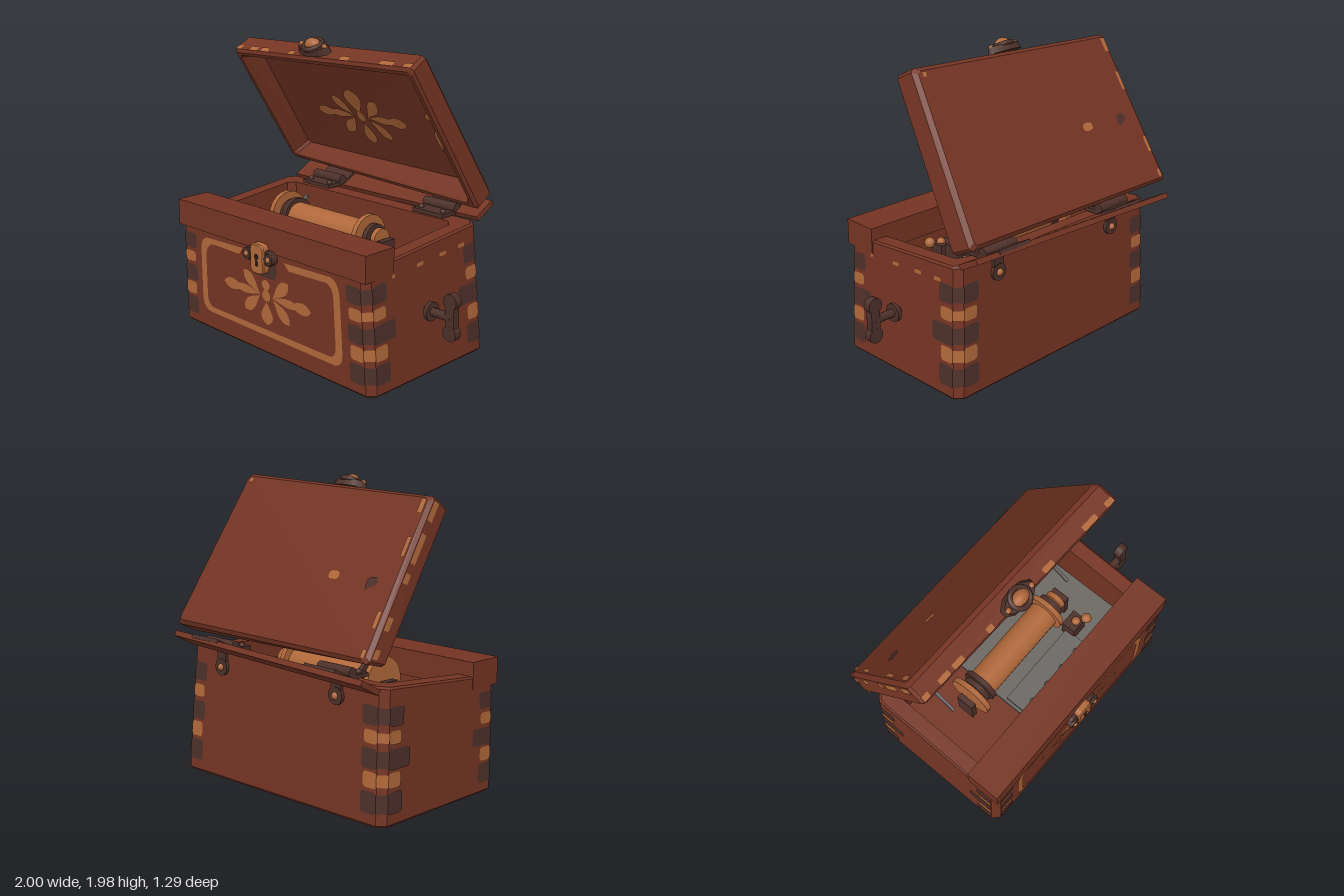
import * as THREE from 'three';

const mat = (name, color, side = THREE.FrontSide) =>
  Object.assign(new THREE.MeshStandardMaterial({ color, side }), { name });

// Trilinear map of a slightly skewed box: u right, v second axis, t outward axis
function warp(c) {
  const p = c.map(a => new THREE.Vector3(...a));
  const mix = (a, b, k) => a.clone().lerp(b, k);
  const quad = (o, u, v) => mix(mix(p[o], p[o + 1], u), mix(p[o + 3], p[o + 2], u), v);
  return (u, v, t) => mix(quad(0, u, v), quad(4, u, v), t);
}

// Hollow open box lofted through rings [t, inset], with cut corners
function shell(fn, width, depth, rings, cut) {
  const loops = rings.map(([t, i]) => {
    const a = i / width, b = i / depth, c = cut / width, d = cut / depth;
    return [[a + c, b], [1 - a - c, b], [1 - a, b + d], [1 - a, 1 - b - d],
      [1 - a - c, 1 - b], [a + c, 1 - b], [a, 1 - b - d], [a, b + d]].map(([u, v]) => fn(u, v, t));
  });
  const pos = [];
  const tri = (...pts) => pts.forEach(q => pos.push(q.x, q.y, q.z));
  for (let r = 0; r < loops.length - 1; r++) {
    const A = loops[r], B = loops[r + 1];
    for (let k = 0; k < 8; k++) {
      const n = (k + 1) % 8;
      tri(A[k], A[n], B[n]);
      tri(A[k], B[n], B[k]);
    }
  }
  const first = loops[0], last = loops[loops.length - 1];
  for (let k = 1; k < 7; k++) {
    tri(first[0], first[k + 1], first[k]);
    tri(last[0], last[k], last[k + 1]);
  }
  const g = new THREE.BufferGeometry();
  g.setAttribute('position', new THREE.Float32BufferAttribute(pos, 3));
  g.computeVertexNormals();
  return g;
}

// Rounded rectangle outline
function roundRect(x0, y0, x1, y1, r) {
  const s = new THREE.Shape();
  s.moveTo(x0 + r, y0).lineTo(x1 - r, y0).quadraticCurveTo(x1, y0, x1, y0 + r);
  s.lineTo(x1, y1 - r).quadraticCurveTo(x1, y1, x1 - r, y1).lineTo(x0 + r, y1);
  s.quadraticCurveTo(x0, y1, x0, y1 - r).lineTo(x0, y0 + r).quadraticCurveTo(x0, y0, x0 + r, y0);
  return s;
}

// Pointed petal starting at x, y
function petal(x, y, angle, len, w) {
  const c = Math.cos(angle), s = Math.sin(angle), at = (a, b) => [x + a * c - b * s, y + a * s + b * c];
  const p = new THREE.Shape();
  p.moveTo(...at(0, 0));
  p.bezierCurveTo(...at(len * 0.3, -w * 0.2), ...at(len * 0.7, -w), ...at(len, 0));
  p.bezierCurveTo(...at(len * 0.7, w), ...at(len * 0.3, w * 0.2), ...at(0, 0));
  return p;
}

export function createModel() {
  const root = new THREE.Group();
  root.name = 'musicChest';
  const wood = mat('redBrownWood', 0x743423);
  const gold = mat('wornGold', 0xb0683a);
  const dark = mat('darkMetal', 0x4d3029);
  const grey = mat('greyMetal', 0x6b6763);
  const black = mat('keyholeBlack', 0x2a1a16);

  const add = (name, geo, m, x = 0, y = 0, z = 0, parent = root) => {
    const mesh = new THREE.Mesh(geo, m);
    mesh.name = name;
    mesh.position.set(x, y, z);
    parent.add(mesh);
    return mesh;
  };
  const box = (name, m, x, y, z, w, h, d) => add(name, new THREE.BoxGeometry(w, h, d), m, x, y, z);
  const rod = (name, m, x, y, z, r, len, axis, sides = 16) => {
    const g = new THREE.CylinderGeometry(r, r, len, sides);
    if (axis === 'x') g.rotateZ(Math.PI / 2);
    if (axis === 'z') g.rotateX(Math.PI / 2);
    return add(name, g, m, x, y, z);
  };
  const knob = (name, m, x, y, z, r) => add(name, new THREE.SphereGeometry(r, 12, 8), m, x, y, z);
  // Thin painted plate laid on a surface
  const decal = (name, shapes, m, map) => {
    const g = new THREE.ShapeGeometry(shapes, 8), p = g.attributes.position;
    for (let i = 0; i < p.count; i++) {
      const q = map(p.getX(i), p.getY(i));
      p.setXYZ(i, q.x, q.y, q.z);
    }
    g.computeVertexNormals();
    return add(name, g, m);
  };

  // Chest body, hollow and slightly crooked
  const body = warp([[-0.99, 0.045, 0.56], [0.77, 0.005, 0.565], [0.77, 0.02, -0.49], [-0.99, 0.045, -0.48],
    [-0.975, 0.78, 0.57], [0.72, 0.79, 0.575], [0.72, 0.875, -0.445], [-0.975, 0.87, -0.445]]);
  const cut = 0.045;
  add('body', shell(body, 1.74, 1.04, [[0, 0.015], [0.02, 0], [0.985, 0], [1, 0.012], [1, 0.11], [0.5, 0.12]], cut), wood);
  box('frontTopRail', wood, -0.125, 0.805, 0.462, 1.71, 0.17, 0.24);

  // Body faces addressed in plain horizontal and height coordinates
  const h = y => (y - 0.025) / 0.78, o = 0.005;
  const sides = {
    front: (a, y) => body((a + 0.985) / 1.74, -o, h(y)),
    right: (a, y) => body(1 + o / 1.7, a / 1.04, h(y)),
    back: (a, y) => body(1 - a / 1.74, 1 + o, h(y)),
    left: (a, y) => body(-o / 1.7, 1 - a / 1.04, h(y)),
  };
  // Corner straps, alternating dark and gold, wrapped around the cut corners
  const bands = [[0.1, 0.225], [0.245, 0.335], [0.35, 0.465], [0.49, 0.565], [0.59, 0.7]];
  const names = Object.keys(sides);
  names.forEach((side, n) => {
    const map = sides[side], start = side === 'front' ? -0.985 : 0;
    const a0 = start + cut, a1 = start + (n % 2 ? 1.04 : 1.74) - cut;
    const next = sides[names[(n + 1) % 4]], nextStart = n === 3 ? cut - 0.985 : cut;
    bands.forEach(([y0, y1], i) => {
      const w = i % 2 ? 0.105 : 0.12, long = n % 2 && i === 2 ? 0.06 : 0, m = i % 2 ? gold : dark;
      decal(side + 'Straps', [roundRect(a0, y0, a0 + w + long, y1, 0.025), roundRect(a1 - w - long, y0, a1, y1, 0.025)], m, map);
      if (n < 3) decal(side + 'CornerWrap', roundRect(0, y0 + 0.01, 1, y1 - 0.01, 0.01), m,
        (k, y) => map(a1, y).lerp(next(nextStart, y), k));
    });
  });
  // Small worn spots along the top of the crank side
  decal('sideWear', [[0.23, 0.012], [0.47, 0.03], [0.68, 0.03], [0.86, 0.03]]
    .map(([a, w]) => roundRect(a - w, 0.7, a + w, 0.722, 0.008)), gold, sides.right);

  // Painted border with a gap behind the clasp
  const border = new THREE.Shape();
  border.moveTo(-0.34, 0.71).lineTo(-0.7, 0.7).quadraticCurveTo(-0.77, 0.69, -0.77, 0.6);
  border.lineTo(-0.77, 0.25).quadraticCurveTo(-0.76, 0.16, -0.68, 0.16).lineTo(0.46, 0.155);
  border.quadraticCurveTo(0.53, 0.16, 0.535, 0.25).lineTo(0.535, 0.6).quadraticCurveTo(0.53, 0.7, 0.46, 0.71);
  border.lineTo(0.05, 0.7).lineTo(0.09, 0.655).lineTo(0.42, 0.665).quadraticCurveTo(0.48, 0.65, 0.48, 0.58);
  border.lineTo(0.48, 0.27).quadraticCurveTo(0.47, 0.2, 0.42, 0.2).lineTo(-0.66, 0.2);
  border.quadraticCurveTo(-0.72, 0.21, -0.72, 0.28).lineTo(-0.72, 0.57).quadraticCurveTo(-0.71, 0.655, -0.64, 0.665);
  border.lineTo(-0.38, 0.66);
  decal('paintedBorder', border, gold, sides.front);

  // Leaf ornament used on the front and inside the lid
  const ornament = (cx, cy, top) => {
    const list = [new THREE.Shape().absarc(cx, cy + 0.01, 0.038, 0, Math.PI * 2),
      petal(cx, cy + 0.03, Math.PI / 2, top, top * 0.85), petal(cx, cy - 0.03, -Math.PI / 2, 0.16, 0.11)];
    for (const s of [-1, 1]) {
      const turn = a => (s > 0 ? a : Math.PI - a);
      list.push(petal(cx + s * 0.05, cy + 0.01, turn(0), 0.25, 0.06));
      list.push(petal(cx + s * 0.2, cy + 0.01, turn(0), 0.21, 0.08));
      list.push(petal(cx + s * 0.06, cy + 0.01, turn(0.72), 0.2, 0.085));
      list.push(petal(cx + s * 0.06, cy, turn(-0.72), 0.2, 0.085));
    }
    return list;
  };
  decal('frontOrnament', ornament(-0.13, 0.425, 0.09), gold, sides.front);

  // Open lid, leaning back
  const lid = warp([[-0.985, 1.035, -0.615], [0.73, 1.03, -0.585], [0.65, 1.97, -0.005], [-0.965, 1.92, -0.05],
    [-1, 0.995, -0.47], [0.745, 0.95, -0.42], [0.665, 1.89, 0.145], [-0.97, 1.83, 0.085]]);
  add('lid', shell(lid, 1.7, 1.08, [[0, 0.025], [0.15, 0], [0.9, 0], [1, 0.02], [1, 0.045], [0.85, 0.06], [0.25, 0.115]], 0.02), wood);
  const inside = (x, y) => lid((x + 0.98) / 1.68, (y - 1.015) / 0.91, 0.29);
  decal('lidOrnament', ornament(-0.14, 1.43, 0.18), gold, inside);
  decal('lidScratch', [petal(0.46, 1.52, 0.2, 0.09, 0.06), petal(0.49, 1.28, 1.5, 0.16, 0.04)], gold, inside);

  // Worn paint on the lid edges
  const edge = [[0.01, 0.04], [0.09, 0.14], [0.16, 0.21], [0.33, 0.36], [0.62, 0.67], [0.83, 0.9], [0.95, 0.99]];
  decal('lidFrontWear', edge.map(([a, b]) => roundRect(a, 0.09, b, 0.32, 0.01)), gold, (a, b) => lid(a, 1.004, 1 - b));
  decal('lidLeftWear', [[0.03, 0.09], [0.2, 0.28], [0.48, 0.54], [0.6, 0.78], [0.86, 0.98]]
    .map(([a, b]) => roundRect(0.16, a, 0.42, b, 0.015)), gold, (t, v) => lid(-0.003, v, t));
  const outer = (a, b) => lid(1 - a, b, -0.04);
  decal('lidChip', roundRect(0.68, 0.43, 0.73, 0.48, 0.022), gold, outer);
  decal('lidDent', petal(0.87, 0.4, 1.2, 0.09, 0.05), dark, outer);
  decal('lidCornerWear', [[0.96, 0.88, 0.982, 0.97], [0.965, 0.62, 0.982, 0.74], [0.965, 0.2, 0.982, 0.3], [0.965, 0.03, 0.982, 0.08], [0.03, 0.94, 0.05, 0.97]]
    .map(q => roundRect(...q, 0.007)), gold, outer);

  // Back strip and hinges
  const strip = box('hingeStrip', wood, -0.13, 0.908, -0.545, 1.69, 0.035, 0.165);
  strip.rotation.set(0.5, -0.012, 0.028);
  for (const x of [-0.61, 0.41]) {
    box('hingePlate', dark, x, 0.89, -0.39, 0.25, 0.025, 0.13);
    rod('hingeBarrel', dark, x, 0.92, -0.46, 0.032, 0.26, 'x');
    const leaf = box('hingeLeaf', dark, x, 0.932 + 0.02 * x, -0.545, 0.25, 0.025, 0.13);
    leaf.rotation.x = 0.5;
    box('hingeBackPlate', dark, x, 0.82, -0.455, 0.08, 0.12, 0.025);
    rod('hingeBackRound', dark, x, 0.765, -0.46, 0.055, 0.025, 'z');
    knob('hingeRivet', gold, x, 0.765, -0.47, 0.024);
    for (const s of [-1, 1]) knob('hingePin', dark, x + s * 0.09, 0.905, -0.37, 0.02);
  }

  // Front clasp
  const extrude = (shape, depth) => new THREE.ExtrudeGeometry(shape,
    { depth, bevelEnabled: true, bevelSize: 0.008, bevelThickness: 0.008, bevelSegments: 1, curveSegments: 8 });
  decal('claspShadow', roundRect(-0.22, 0.56, -0.02, 0.71, 0.06), dark, sides.front);
  add('claspBase', extrude(roundRect(-0.115, -0.04, 0.115, 0.04, 0.03), 0.025), dark, -0.155, 0.69, 0.58);
  add('claspLock', extrude(roundRect(-0.055, -0.09, 0.055, 0.09, 0.035), 0.04), gold, -0.155, 0.675, 0.582);
  rod('keyholeTop', black, -0.155, 0.69, 0.629, 0.018, 0.008, 'z');
  box('keyholeSlot', black, -0.155, 0.66, 0.629, 0.018, 0.06, 0.008);
  for (const s of [-1, 1]) {
    rod('claspLug', dark, -0.155 + s * 0.1, 0.69, 0.6, 0.037, 0.05, 'z');
    knob('claspRivet', gold, -0.155 + s * 0.1, 0.69, 0.62, 0.02);
  }

  // Lid catch on the top edge
  const latch = new THREE.Group();
  latch.name = 'lidCatch';
  latch.position.set(-0.18, 1.92, 0.095);
  latch.rotation.x = 0.45;
  root.add(latch);
  add('catchBase', new THREE.CylinderGeometry(0.07, 0.08, 0.045, 10).scale(1.7, 1, 0.85), dark, 0, 0.005, 0, latch);
  add('catchDome', new THREE.SphereGeometry(0.055, 12, 8).scale(1.15, 0.9, 0.8), gold, 0, 0.025, 0, latch);
  add('catchBand', new THREE.TorusGeometry(0.062, 0.016, 6, 14).rotateX(Math.PI / 2), dark, 0, 0.03, 0, latch);
  for (const s of [-1, 1]) add('catchRivet', new THREE.SphereGeometry(0.018, 10, 6), gold, s * 0.1, 0.026, 0, latch);

  // Side crank
  rod('crankFlange', dark, 0.79, 0.435, 0.07, 0.06, 0.025, 'x', 20);
  rod('crankShaft', dark, 0.85, 0.435, 0.07, 0.027, 0.2, 'x', 12);
  box('crankArm', dark, 0.95, 0.44, 0.07, 0.065, 0.2, 0.05);
  for (const y of [0.34, 0.54]) rod('crankLobe', dark, 0.95, y, 0.07, 0.05, 0.052, 'z', 16);

  // Music movement inside
  box('movementPlate', grey, 0.09, 0.55, 0.06, 0.98, 0.03, 0.66);
  box('combPlate', grey, -0.08, 0.62, 0.26, 0.62, 0.03, 0.2);
  for (let i = 0; i < 4; i++) knob('combScrew', grey, -0.3 + i * 0.15, 0.64, 0.31, 0.022);
  rod('musicDrum', gold, -0.13, 0.755, 0, 0.1, 0.68, 'x', 20);
  for (const [x, r, m] of [[-0.55, 0.15, gold], [-0.5, 0.1, dark], [-0.46, 0.12, dark], [0.2, 0.14, gold], [0.25, 0.09, dark], [0.3, 0.07, gold]])
    rod('drumWheel', m, x, 0.765, 0, r, 0.035, 'x', 20);
  for (const x of [-0.6, 0.35]) box('drumBracket', dark, x, 0.66, 0, 0.04, 0.22, 0.12);
  box('governorBlock', dark, 0.28, 0.65, 0.18, 0.12, 0.14, 0.1);
  knob('governorKnob', gold, 0.35, 0.72, 0.23, 0.035);
  knob('governorKnob', gold, 0.29, 0.72, 0.19, 0.03);
  for (const x of [-0.68, 0.5]) {
    const arm = box('supportArm', grey, x, 0.72, -0.18, 0.02, 0.02, 0.3);
    arm.rotation.x = 0.5;
  }
  return root;
}
